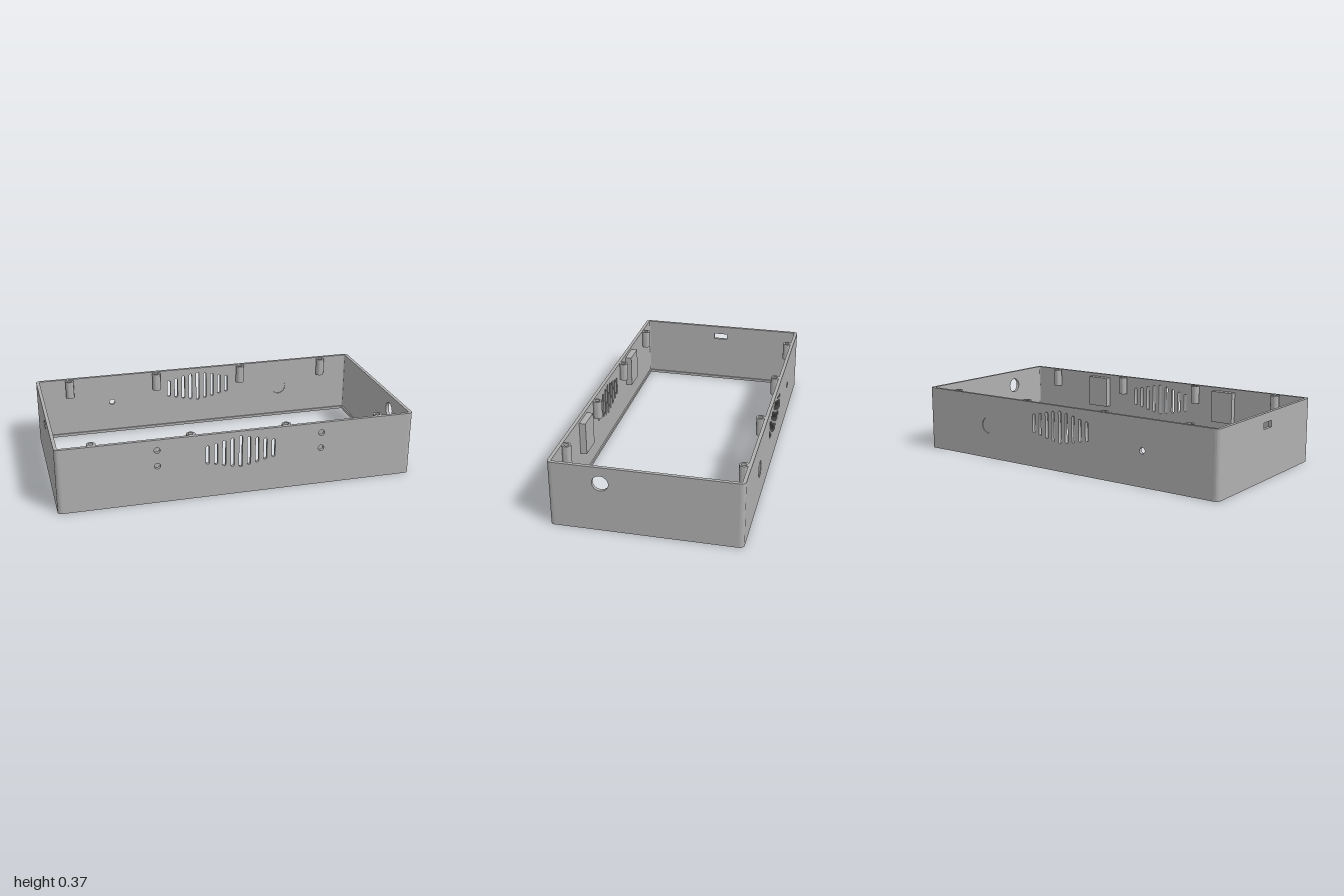
import * as THREE from 'three';
import { toCreasedNormals } from 'three/addons/utils/BufferGeometryUtils.js';

const W = 1, D = 0.51, H = 0.37;   // half width, half depth, height
const T = 0.019, R = 0.025;        // wall thickness, corner radius

const circle = (x, y, r) => new THREE.Path().absarc(x, y, r, 0, Math.PI * 2, true);

function rectPath(target, x, y, w, h) {
  target.moveTo(x - w / 2, y - h / 2);
  target.lineTo(x + w / 2, y - h / 2);
  target.lineTo(x + w / 2, y + h / 2);
  target.lineTo(x - w / 2, y + h / 2);
  target.closePath();
  return target;
}

// Upright slot with round ends
function slot(x, y, halfH, r) {
  const p = new THREE.Path();
  p.absarc(x, y + halfH - r, r, 0, Math.PI, false);
  p.absarc(x, y - halfH + r, r, Math.PI, Math.PI * 2, false);
  p.closePath();
  return p;
}

function roundedRect(target, hw, hd, r) {
  target.absarc(hw - r, hd - r, r, 0, Math.PI / 2, false);
  target.absarc(-hw + r, hd - r, r, Math.PI / 2, Math.PI, false);
  target.absarc(-hw + r, -hd + r, r, Math.PI, Math.PI * 1.5, false);
  target.absarc(hw - r, -hd + r, r, Math.PI * 1.5, Math.PI * 2, false);
  target.closePath();
  return target;
}

function extrude(shape, depth) {
  const g = new THREE.ExtrudeGeometry(shape, { depth, bevelEnabled: false, curveSegments: 16 });
  return toCreasedNormals(g, 0.6);
}

export function createModel() {
  const group = new THREE.Group();
  const grey = new THREE.MeshStandardMaterial({ color: 0xb0b0b0 });
  grey.name = 'grey plastic';

  const add = (name, geometry, x = 0, y = 0, z = 0) => {
    const mesh = new THREE.Mesh(geometry, grey);
    mesh.name = name;
    mesh.position.set(x, y, z);
    group.add(mesh);
    return mesh;
  };

  const wall = (halfLength, holes) => {
    const shape = rectPath(new THREE.Shape(), 0, H / 2, halfLength * 2, H);
    shape.holes.push(...holes);
    return extrude(shape, T);
  };

  // Nine ventilation slots, longest in the middle
  const halfHeights = [0.092, 0.084, 0.075, 0.063, 0.054];
  const vents = () => {
    const list = [];
    for (let i = -4; i <= 4; i++) list.push(slot(i * 0.0462, 0.25, halfHeights[Math.abs(i)], 0.0095));
    return list;
  };

  // Long walls
  const buttonHoles = [];
  for (const x of [-0.46, 0.46]) for (const y of [0.218, 0.309]) buttonHoles.push(circle(x, y, 0.017));
  add('frontWall', wall(W - R, [...vents(), ...buttonHoles]), 0, 0, D - T);
  add('backWall', wall(W - R, [...vents(), circle(-0.545, 0.197, 0.017), circle(0.533, 0.194, 0.045)]), 0, 0, -D);

  // Thin membrane closing the large round opening at the back
  const membrane = new THREE.CylinderGeometry(0.045, 0.045, 0.009, 32);
  membrane.rotateX(Math.PI / 2);
  add('knockoutMembrane', membrane, 0.533, 0.194, -D + T / 2);

  // Short walls: a round opening on the left, a small port on the right
  add('leftWall', wall(D - R, [circle(-0.23, 0.278, 0.043)]), W - T).rotation.y = Math.PI / 2;
  add('rightWall', wall(D - R, [rectPath(new THREE.Path(), 0, 0.302, 0.085, 0.036)]), -W).rotation.y = Math.PI / 2;

  // Rounded corners
  const corner = new THREE.Shape();
  corner.absarc(0, 0, R, 0, Math.PI / 2, false);
  corner.absarc(0, 0, R - T, Math.PI / 2, 0, true);
  corner.closePath();
  const cornerGeometry = extrude(corner, H).rotateX(-Math.PI / 2);
  [[1, -1], [-1, -1], [-1, 1], [1, 1]].forEach(([sx, sz], i) => {
    add('corner', cornerGeometry, sx * (W - R), 0, sz * (D - R)).rotation.y = i * Math.PI / 2;
  });

  // Narrow ledge around the inside of the bottom edge
  const ledge = roundedRect(new THREE.Shape(), W - T, D - T, R - T);
  ledge.holes.push(roundedRect(new THREE.Path(), W - T - 0.008, D - T - 0.008, 0.004));
  add('bottomLedge', extrude(ledge, 0.016).rotateX(-Math.PI / 2));

  // Screw posts with blind holes along both long walls
  const profile = [[0, 0], [0.025, 0], [0.025, 0.105], [0.014, 0.105], [0.014, 0.02], [0, 0.02]]
    .map(([x, y]) => new THREE.Vector2(x, y));
  const post = toCreasedNormals(new THREE.LatheGeometry(profile, 24), 0.6);
  for (const z of [-0.468, 0.468])
    for (const x of [-0.803, -0.268, 0.268, 0.803]) add('screwPost', post, x, H - 0.107, z);

  // Pads behind the button holes
  for (const x of [-0.46, 0.46])
    add('buttonPad', new THREE.BoxGeometry(0.138, 0.186, 0.036), x, 0.258, D - T - 0.018);

  return group;
}
